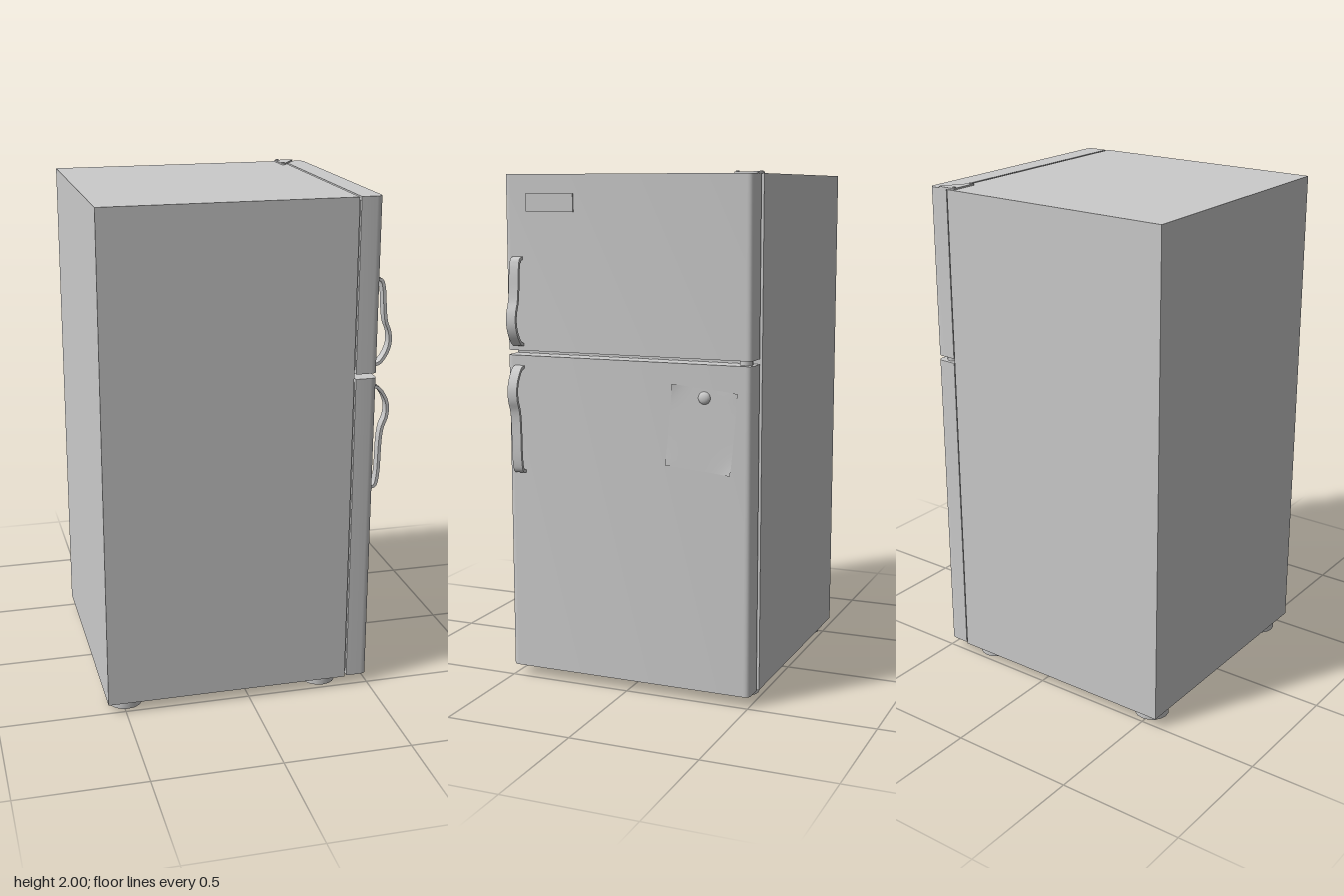
import * as THREE from 'three';
import { toCreasedNormals } from 'three/addons/utils/BufferGeometryUtils.js';

const grey = new THREE.MeshStandardMaterial({ color: 0xcccccc });
const greyThin = new THREE.MeshStandardMaterial({ color: 0xcccccc, side: THREE.DoubleSide });
const DOOR_X = 0.495; // outer face of the doors

function add(parent, name, geometry, x = 0, y = 0, z = 0, material = grey) {
  const mesh = new THREE.Mesh(geometry, material);
  mesh.name = name;
  mesh.position.set(x, y, z);
  parent.add(mesh);
  return mesh;
}

// Box given by its limits
function addBox(parent, name, [x0, x1], [y0, y1], [z0, z1]) {
  return add(parent, name, new THREE.BoxGeometry(x1 - x0, y1 - y0, z1 - z0),
    (x0 + x1) / 2, (y0 + y1) / 2, (z0 + z1) / 2);
}

// Plan shape (x, -z) raised upwards
function raise(shape, height) {
  const geometry = new THREE.ExtrudeGeometry(shape, { depth: height, bevelEnabled: false, curveSegments: 6 });
  return toCreasedNormals(geometry.rotateX(-Math.PI / 2), 0.6);
}

// Door slab with rounded outer vertical edges, and its inset seal
function addDoor(parent, name, y0, y1) {
  const door = new THREE.Group();
  door.name = name;
  const x0 = 0.41, r = 0.025, w = 0.504;
  const plan = new THREE.Shape();
  plan.moveTo(x0, -w);
  plan.lineTo(DOOR_X - r, -w);
  plan.quadraticCurveTo(DOOR_X, -w, DOOR_X, -w + r);
  plan.lineTo(DOOR_X, w - r);
  plan.quadraticCurveTo(DOOR_X, w, DOOR_X - r, w);
  plan.lineTo(x0, w);
  plan.closePath();
  add(door, 'doorPanel', raise(plan, y1 - y0), 0, y0, 0);
  addBox(door, 'doorSeal', [0.399, 0.411], [y0 + 0.015, y1 - 0.015], [-0.49, 0.49]);
  parent.add(door);
}

// Curved strap handle: starts at yStart and runs up (dir 1) or down (dir -1)
function addHandle(parent, name, yStart, dir, length) {
  const path = new THREE.CatmullRomCurve3([
    [0.493, 0.006], [0.514, 0.012], [0.54, 0.045], [0.554, 0.085], [0.552, 0.13],
    [0.537, 0.172], [0.53, 0.22], [0.524, length - 0.05], [0.513, length - 0.012], [0.493, length - 0.006],
  ].map(([x, d]) => new THREE.Vector3(x, yStart + dir * d, 0)));
  const outer = [], inner = [];
  const steps = 40, half = 0.006;
  for (let i = 0; i <= steps; i++) {
    const p = path.getPoint(i / steps), t = path.getTangent(i / steps);
    outer.push(new THREE.Vector2(p.x + t.y * half, p.y - t.x * half));
    inner.unshift(new THREE.Vector2(p.x - t.y * half, p.y + t.x * half));
  }
  const width = 0.04;
  const geometry = new THREE.ExtrudeGeometry(new THREE.Shape([...outer, ...inner]),
    { depth: width, bevelEnabled: false });
  add(parent, name, toCreasedNormals(geometry, 0.6), 0, 0, 0.45 - width / 2);
}

// Sheet of paper, slightly turned, with lifted corners
function paperGeometry() {
  const geometry = new THREE.PlaneGeometry(0.26, 0.31, 12, 12);
  const pos = geometry.attributes.position;
  for (let i = 0; i < pos.count; i++) {
    const u = Math.abs(pos.getX(i)) / 0.13, v = Math.abs(pos.getY(i)) / 0.155;
    pos.setZ(i, 0.006 * (u * v) ** 4);
  }
  geometry.rotateZ(-0.09).rotateY(Math.PI / 2);
  geometry.computeVertexNormals();
  return geometry;
}

export function createModel() {
  const model = new THREE.Group();
  model.name = 'refrigerator';

  // Cabinet and doors
  addBox(model, 'cabinet', [-0.57, 0.4], [0.042, 1.99], [-0.511, 0.511]);
  addDoor(model, 'freezerDoor', 1.318, 1.99);
  addDoor(model, 'fridgeDoor', 0.042, 1.299);

  // Handles mirrored about the gap between the doors
  addHandle(model, 'freezerHandle', 1.335, 1, 0.345);
  addHandle(model, 'fridgeHandle', 1.26, -1, 0.425);

  // Feet
  for (const x of [-0.488, 0.317]) {
    for (const z of [-0.414, 0.414]) {
      add(model, 'foot', toCreasedNormals(new THREE.CylinderGeometry(0.067, 0.067, 0.044, 16), 0.6), x, 0.022, z);
    }
  }

  // Top hinge: triangular plate with rounded corners and two screws
  const plate = new THREE.Shape();
  plate.moveTo(0.37, 0.5);
  plate.lineTo(0.37, 0.394);
  plate.quadraticCurveTo(0.372, 0.386, 0.384, 0.39);
  plate.lineTo(0.447, 0.492);
  plate.quadraticCurveTo(0.451, 0.505, 0.442, 0.505);
  plate.lineTo(0.375, 0.505);
  plate.quadraticCurveTo(0.37, 0.505, 0.37, 0.5);
  add(model, 'topHinge', raise(plate, 0.007), 0, 1.989, 0);
  for (const z of [-0.493, -0.401]) {
    add(model, 'hingeScrew', new THREE.CylinderGeometry(0.006, 0.007, 0.005, 12), 0.379, 1.9975, z);
  }

  // Middle hinge pin between the doors
  add(model, 'middleHinge', new THREE.CylinderGeometry(0.024, 0.024, 0.022, 16), 0.446, 1.3085, -0.466);

  // Blank plate on the freezer door
  addBox(model, 'badge', [DOOR_X - 0.002, 0.502], [1.85, 1.918], [0.21, 0.41]);

  // Paper note held by a round magnet
  add(model, 'paperNote', paperGeometry(), DOOR_X + 0.0015, 1.055, -0.308, greyThin);
  const magnet = add(model, 'magnet', new THREE.SphereGeometry(0.024, 20, 12), 0.497, 1.175, -0.32);
  magnet.scale.x = 0.55;

  return model;
}
